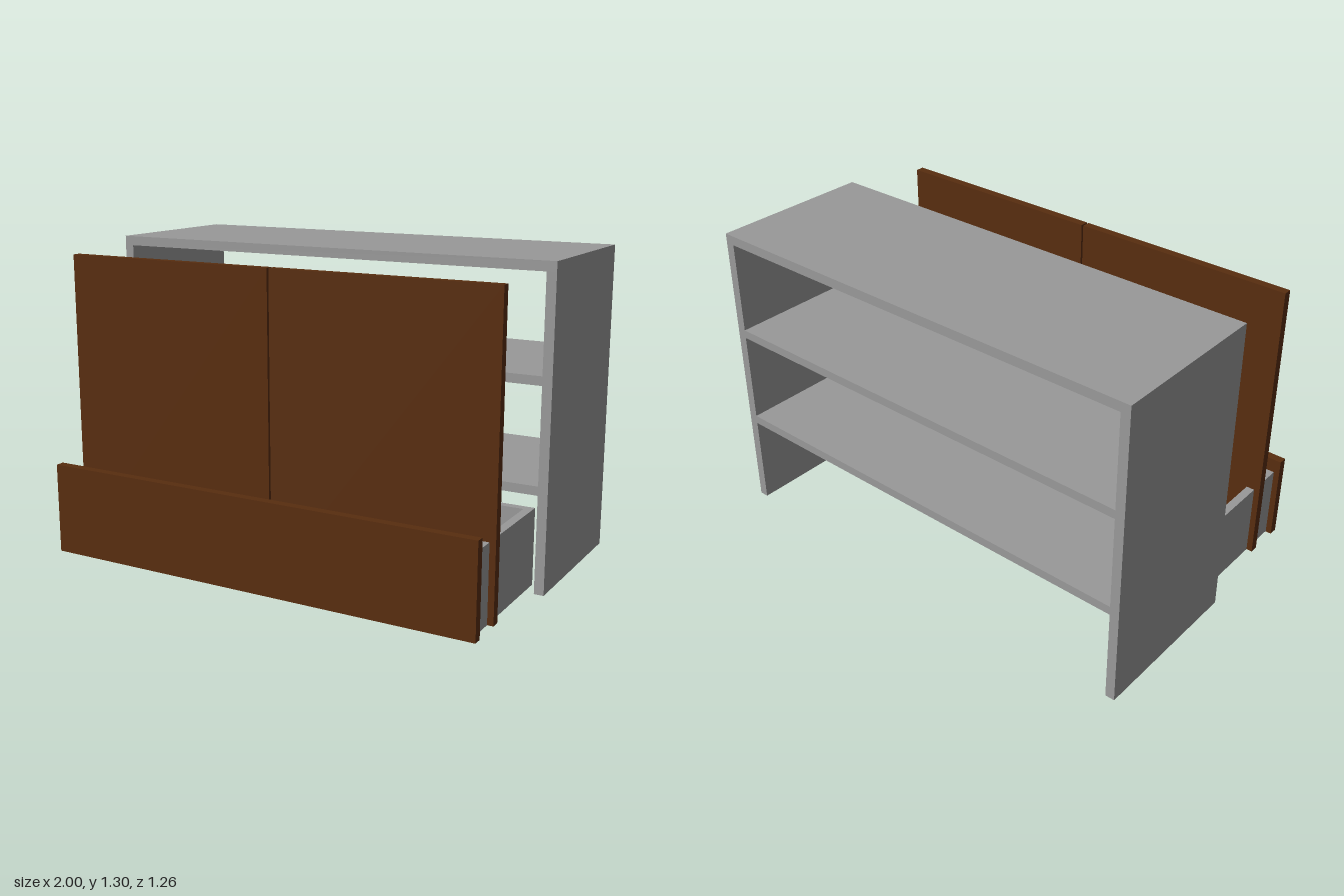
import * as THREE from 'three';

export function createModel() {
  const model = new THREE.Group();
  model.name = 'sideboard';

  const grey = new THREE.MeshStandardMaterial({ color: 0x999999 });
  grey.name = 'grey board';
  const brown = new THREE.MeshStandardMaterial({ color: 0x582d0f });
  brown.name = 'brown wood';

  // A board given by its lower and upper limits on each axis
  function board(parent, name, material, [x0, x1], [y0, y1], [z0, z1]) {
    const mesh = new THREE.Mesh(new THREE.BoxGeometry(x1 - x0, y1 - y0, z1 - z0), material);
    mesh.position.set((x0 + x1) / 2, (y0 + y1) / 2, (z0 + z1) / 2);
    mesh.name = name;
    parent.add(mesh);
  }
  function group(name) {
    const g = new THREE.Group();
    g.name = name;
    model.add(g);
    return g;
  }
  // Limits mirrored to the left (+1) or right (-1) side
  const mirror = (side, a, b) => (side > 0 ? [a, b] : [-b, -a]);
  const sides = [[1, 'left'], [-1, 'right']];

  // Open-backed carcass with two full-depth shelves
  const carcass = group('carcass');
  const depth = [-0.63, 0.07];
  board(carcass, 'topPanel', grey, [-1, 1], [1.26, 1.3], depth);
  for (const [s, label] of sides) {
    board(carcass, label + 'SidePanel', grey, mirror(s, 0.96, 1), [0, 1.26], depth);
  }
  board(carcass, 'lowerShelf', grey, [-0.96, 0.96], [0.4, 0.437], depth);
  board(carcass, 'upperShelf', grey, [-0.96, 0.96], [0.83, 0.867], depth);

  // Pair of doors standing off the carcass
  const doors = group('doors');
  for (const [s, label] of sides) {
    board(doors, label + 'Door', brown, mirror(s, 0.004, 0.955), [0.013, 1.257], [0.432, 0.468]);
  }

  // Pulled-out drawer, closed at the front by its wooden face
  const drawer = group('drawer');
  const wall = [0.013, 0.33];
  for (const [s, label] of sides) {
    board(drawer, label + 'DrawerSide', grey, mirror(s, 0.895, 0.93), wall, [0.01, 0.595]);
  }
  board(drawer, 'drawerBack', grey, [-0.895, 0.895], wall, [0.01, 0.045]);
  board(drawer, 'drawerBottom', grey, [-0.895, 0.895], [0.013, 0.048], [0.045, 0.595]);
  board(drawer, 'drawerFront', brown, [-0.955, 0.955], [0.01, 0.391], [0.595, 0.632]);

  return model;
}
